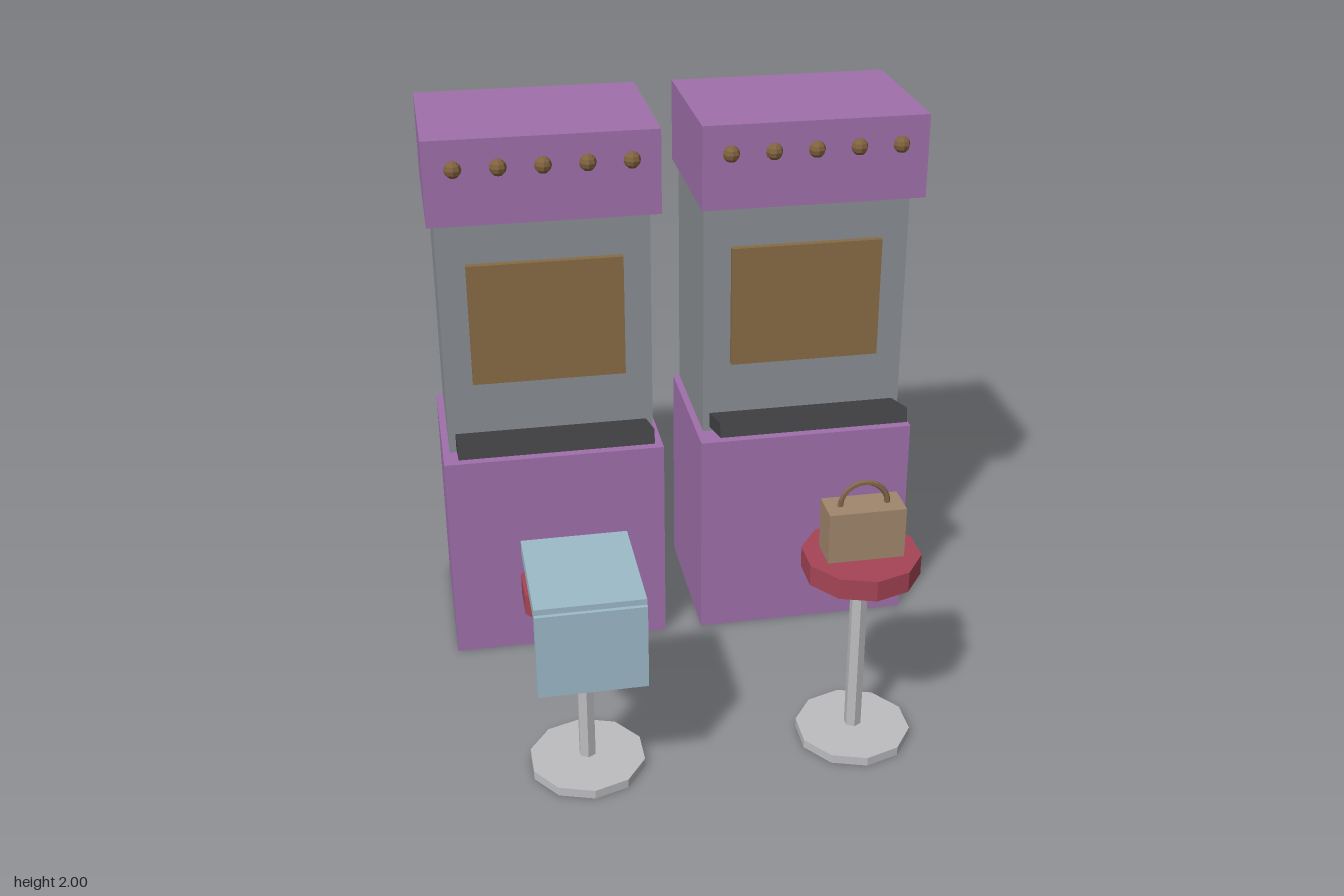
import * as THREE from 'three';

const mat = (name, color) => {
  const m = new THREE.MeshStandardMaterial({ color });
  m.name = name;
  return m;
};

export function createModel() {
  const purple = mat('purple', 0x9f70ab);
  const grey = mat('grey', 0x8a8e92);
  const amber = mat('screen brown', 0x876c45);
  const black = mat('charcoal', 0x434346);
  const brown = mat('button brown', 0x80623f);
  const silver = mat('silver', 0xbcbcc0);
  const red = mat('seat red', 0xa54455);
  const blue = mat('pale blue', 0x9dbac8);
  const tan = mat('bag tan', 0xa0866d);
  const strap = mat('strap brown', 0x80654d);

  // Adds a named mesh; faceted shapes get flat normals
  const add = (parent, name, geometry, material, x, y, z) => {
    let g = geometry;
    if (g.type !== 'BoxGeometry') {
      g = g.toNonIndexed();
      g.computeVertexNormals();
    }
    const mesh = new THREE.Mesh(g, material);
    mesh.name = name;
    mesh.position.set(x, y, z);
    parent.add(mesh);
    return mesh;
  };
  const box = (w, h, d) => new THREE.BoxGeometry(w, h, d);

  // Arcade cabinet: base, body, header, screen, tilted panel, bulbs
  const makeCabinet = () => {
    const g = new THREE.Group();
    g.name = 'cabinet';
    add(g, 'cabinetBase', box(0.8, 0.8, 0.6), purple, 0, 0.4, -0.5);
    add(g, 'cabinetBody', box(0.75, 0.9, 0.5), grey, 0, 1.25, -0.55);
    add(g, 'cabinetHeader', box(0.8, 0.3, 0.6), purple, 0, 1.85, -0.5);
    add(g, 'screen', box(0.55, 0.45, 0.05), amber, 0, 1.3, -0.3);
    add(g, 'controlPanel', box(0.7, 0.055, 0.25), black, 0, 0.866, -0.222).rotation.x = -0.27;
    for (let i = -2; i <= 2; i++) {
      add(g, 'headerBulb', new THREE.SphereGeometry(0.03, 8, 6), brown, i * 0.15, 1.9, -0.195);
    }
    return g;
  };

  // Round stool with ten-sided foot and seat
  const makeStool = () => {
    const g = new THREE.Group();
    g.name = 'stool';
    add(g, 'stoolFoot', new THREE.CylinderGeometry(0.2, 0.2, 0.032, 10), silver, 0, 0.016, 0);
    add(g, 'stoolPole', new THREE.CylinderGeometry(0.03, 0.03, 0.63, 6), silver, 0, 0.355, 0);
    add(g, 'stoolSeat', new THREE.CylinderGeometry(0.2, 0.2, 0.074, 10), red, 0, 0.705, 0);
    return g;
  };

  const model = new THREE.Group();
  model.name = 'arcadeCorner';
  const stools = [-0.47, 0.47].map((x) => {
    const cabinet = makeCabinet();
    cabinet.position.x = x;
    const stool = makeStool();
    stool.position.set(x, 0, 0.547);
    model.add(cabinet, stool);
    return stool;
  });

  // Jacket draped over one stool
  const jacket = new THREE.Group();
  jacket.name = 'jacket';
  add(jacket, 'jacketTop', box(0.356, 0.053, 0.425), blue, 0, 0.769, 0.03);
  add(jacket, 'jacketFlap', box(0.356, 0.3, 0.04), blue, 0, 0.625, 0.236);
  stools[0].add(jacket);

  // Handbag on the other stool
  const bag = new THREE.Group();
  bag.name = 'handbag';
  add(bag, 'bagBody', box(0.26, 0.18, 0.12), tan, 0, 0.832, 0);
  add(bag, 'bagHandle', new THREE.TorusGeometry(0.08, 0.01, 6, 12, Math.PI), strap, 0, 0.922, 0);
  stools[1].add(bag);

  return model;
}
